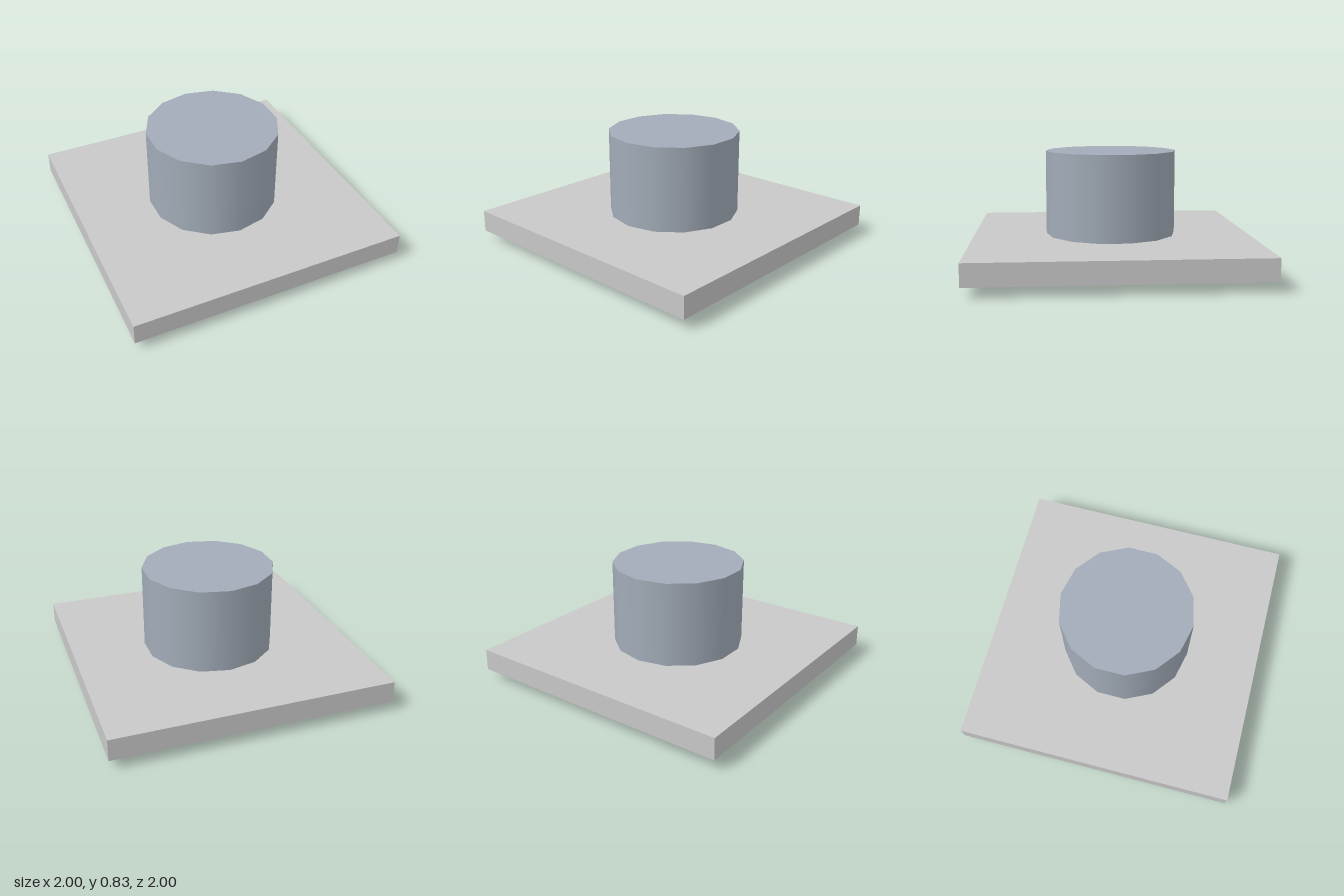
import * as THREE from 'three';

const material = (name, color) => {
  const m = new THREE.MeshStandardMaterial({ color });
  m.name = name;
  return m;
};

export function createModel() {
  const group = new THREE.Group();
  group.name = 'pushButton';

  // Add a part standing between two heights
  const add = (name, geometry, mat, bottom, top) => {
    const mesh = new THREE.Mesh(geometry, mat);
    mesh.name = name;
    mesh.position.y = (bottom + top) / 2;
    group.add(mesh);
  };

  const blue = material('blue', 0x3399cc);
  const lightGrey = material('lightGrey', 0xc8c8c8);
  const steel = material('steelGrey', 0xa2acb8);

  // Square foot under the plate
  add('foot', new THREE.BoxGeometry(1.375, 0.07, 1.375), blue, 0, 0.07);
  // Wide square plate
  add('plate', new THREE.BoxGeometry(2, 0.155, 2), lightGrey, 0.07, 0.225);
  // Fourteen-sided post with smooth sides
  add('post', new THREE.CylinderGeometry(0.475, 0.475, 0.61, 14), steel, 0.225, 0.835);

  return group;
}
